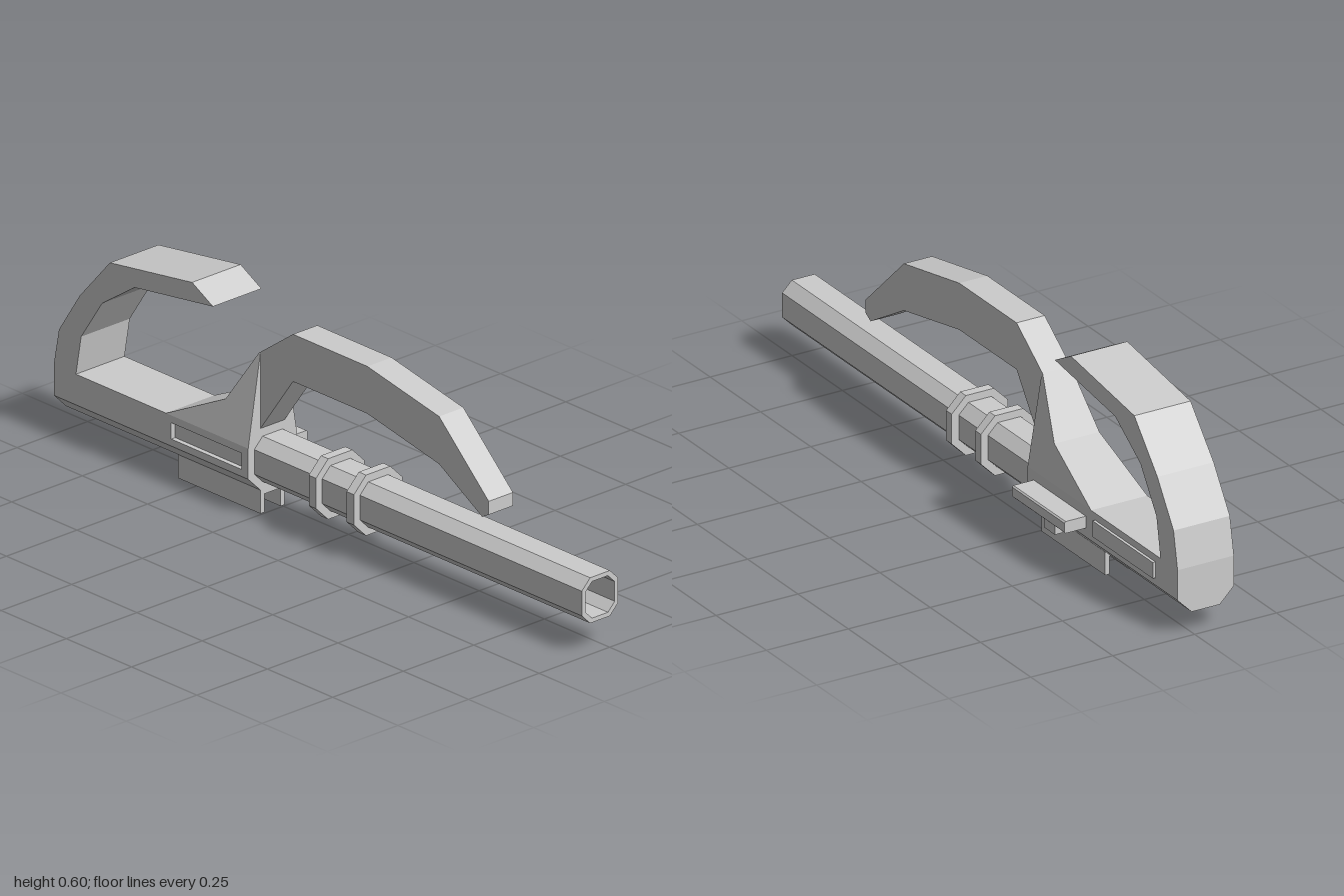
import * as THREE from 'three';

const CX = -0.034, CY = 0.153; // bore axis
const mat = new THREE.MeshStandardMaterial({ color: 0xcccccc, flatShading: true });

export function createModel() {
  const model = new THREE.Group();

  const add = (name, geo) => {
    const mesh = new THREE.Mesh(geo, mat);
    mesh.name = name;
    model.add(mesh);
    return mesh;
  };
  const toShape = (pts) => new THREE.Shape(pts.map(([a, b]) => new THREE.Vector2(a, b)));

  // Box given by its limits
  const box = (name, x0, x1, y0, y1, z0, z1) => {
    const geo = new THREE.BoxGeometry(x1 - x0, y1 - y0, z1 - z0);
    add(name, geo.translate((x0 + x1) / 2, (y0 + y1) / 2, (z0 + z1) / 2));
  };
  // Cross-section in x (from the axis) and y, swept from z0 to z1
  const alongZ = (name, shape, z0, z1, y = 0) => {
    const geo = new THREE.ExtrudeGeometry(shape, { depth: z1 - z0, bevelEnabled: false });
    add(name, geo.translate(CX, y, z0));
  };
  // Side outline in (z, y), given a width centred on the axis
  const sideProfile = (pts, half) => {
    const geo = new THREE.ExtrudeGeometry(toShape(pts), { depth: 2 * half, bevelEnabled: false });
    return geo.translate(0, 0, -half).rotateY(-Math.PI / 2);
  };
  // Square with cut corners
  const octagon = (r, c) => [
    [r, -c], [r, c], [c, r], [-c, r], [-r, c], [-r, -c], [-c, -r], [c, -r]
  ];

  // Hollow barrel and its two collars
  const tube = toShape(octagon(0.0645, 0.035));
  tube.holes.push(toShape(octagon(0.052, 0.028)));
  alongZ('barrel', tube, -0.26, 1, CY);
  const collar = toShape(octagon(0.086, 0.043));
  collar.holes.push(toShape(octagon(0.0635, 0.034)));
  for (const z of [0.122, -0.023]) alongZ('collar', collar, z, z + 0.028, CY);

  // Receiver, with a long recess in the side at -x
  const lower = [[-0.043, 0.067], [0.043, 0.067], [0.086, 0.11], [0.086, 0.197], [-0.086, 0.197]];
  const recess = [[-0.086, 0.176], [-0.072, 0.176], [-0.072, 0.13], [-0.086, 0.13]];
  const plain = toShape([...lower, [-0.086, 0.11]]);
  const notched = toShape([...lower, ...recess, [-0.086, 0.11]]);
  alongZ('receiverFront', plain, -0.28, -0.255);
  alongZ('receiverMiddle', notched, -0.55, -0.28);
  alongZ('receiverRear', plain, -1, -0.55);

  // Sloping fin that narrows upwards
  const fin = sideProfile([
    [-0.255, 0.197], [-0.255, 0.455], [-0.26, 0.455], [-0.36, 0.3], [-0.57, 0.197]
  ], 1);
  const p = fin.attributes.position;
  for (let i = 0; i < p.count; i++) {
    p.setX(i, p.getX(i) * (0.086 - (p.getY(i) - 0.197) / 6));
  }
  fin.computeVertexNormals();
  add('fin', fin.translate(CX, 0, 0));

  // Curved arm above the barrel
  add('foreArm', sideProfile([
    [-0.26, 0.455], [-0.13, 0.549], [0.155, 0.549], [0.43, 0.495], [0.62, 0.315],
    [0.62, 0.277], [0.595, 0.263], [0.43, 0.36], [0.155, 0.415], [-0.13, 0.415], [-0.256, 0.24]
  ], 0.043).translate(CX, 0, 0));

  // Curved hook at the rear
  add('rearHook', sideProfile([
    [-1, 0.197], [-0.98, 0.303], [-0.9, 0.425], [-0.785, 0.555], [-0.47, 0.6], [-0.39, 0.557],
    [-0.69, 0.515], [-0.815, 0.43], [-0.895, 0.31], [-0.915, 0.197]
  ], 0.086).translate(CX, 0, 0));

  // Channel under the receiver
  alongZ('underRail', toShape([
    [-0.043, 0], [-0.029, 0], [-0.029, 0.052], [0.029, 0.052],
    [0.029, 0], [0.043, 0], [0.043, 0.067], [-0.043, 0.067]
  ]), -0.57, -0.255);

  // Side panel, side handle and its catch
  box('sidePanel', 0.05, 0.06, 0.131, 0.177, -0.89, -0.59);
  const h = 0.004;
  alongZ('sideHandle', toShape([
    [0.084, 0.136], [0.152 - h, 0.136], [0.152, 0.136 + h],
    [0.152, 0.17 - h], [0.152 - h, 0.17], [0.084, 0.17]
  ]), -0.545, -0.285);
  box('handleRidge', 0.073, 0.098, 0.127, 0.137, -0.525, -0.3);
  box('handleCatch', 0.073, 0.098, 0.096, 0.13, -0.465, -0.41);

  return model;
}
